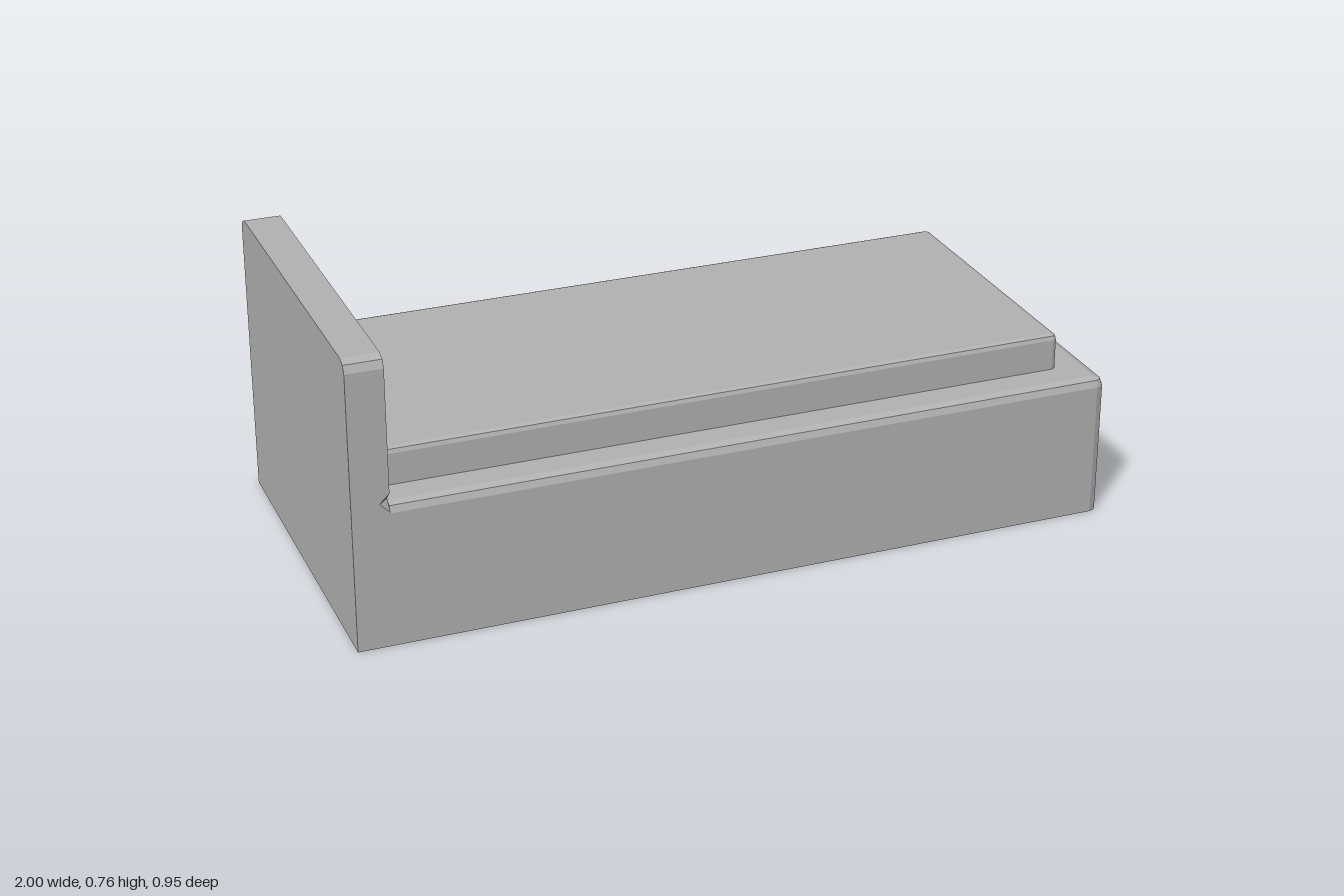
import * as THREE from 'three';

// Stack horizontal rings (counter-clockwise from above) into a closed, flat-faced solid
function loft(rings) {
  const pos = [];
  const tri = (...pts) => pts.forEach(p => pos.push(p[0], p[1], p[2]));
  const n = rings[0].length;
  for (let i = 0; i < rings.length - 1; i++) {
    for (let j = 0; j < n; j++) {
      const k = (j + 1) % n;
      const a = rings[i][j], b = rings[i][k], c = rings[i + 1][k], d = rings[i + 1][j];
      tri(a, b, c);
      tri(a, c, d);
    }
  }
  const bottom = rings[0], top = rings[rings.length - 1];
  for (let j = 1; j < n - 1; j++) {
    tri(top[0], top[j], top[j + 1]);
    tri(bottom[0], bottom[j + 1], bottom[j]);
  }
  const g = new THREE.BufferGeometry();
  g.setAttribute('position', new THREE.Float32BufferAttribute(pos, 3));
  g.computeVertexNormals();
  return g;
}

// Slab with a square head end and two-step rounded edges at the foot, sides and top
function slab(x0, x1, halfZ, y0, y1, r) {
  const ring = (y, inset) => {
    const x = x1 - inset, z = halfZ - inset, c = r - inset, m = c * 0.293;
    return [
      [x0, y, z], [x - c, y, z], [x - m, y, z - m], [x, y, z - c],
      [x, y, -z + c], [x - m, y, -z + m], [x - c, y, -z], [x0, y, -z],
    ];
  };
  return loft([ring(y0, 0), ring(y1 - r, 0), ring(y1 - 0.293 * r, 0.293 * r), ring(y1, r)]);
}

// Upright panel with rounded top corners and a small notch where it meets the base
function panel(x0, x1) {
  const ring = ([y, z, c]) => [
    [x1, y, z - c], [x1, y, -z + c], [x1 - c, y, -z],
    [x0, y, -z], [x0, y, z], [x1 - c, y, z],
  ];
  // height, half width, notch depth
  return loft([
    [0, 0.477, 0], [0.36, 0.477, 0], [0.385, 0.477, 0.025], [0.41, 0.477, 0],
    [0.733, 0.477, 0], [0.753, 0.468, 0], [0.762, 0.447, 0],
  ].map(ring));
}

export function createModel() {
  const group = new THREE.Group();
  group.name = 'bed';
  const grey = new THREE.MeshStandardMaterial({ color: 0xb2b2b2 });
  grey.name = 'grey';

  const add = (name, geometry) => {
    const mesh = new THREE.Mesh(geometry, grey);
    mesh.name = name;
    group.add(mesh);
  };

  add('headboard', panel(-1, -0.905));
  add('bedBase', slab(-0.905, 1, 0.477, 0, 0.381, 0.024));
  add('mattress', slab(-0.905, 0.907, 0.381, 0.379, 0.477, 0.014));
  return group;
}
